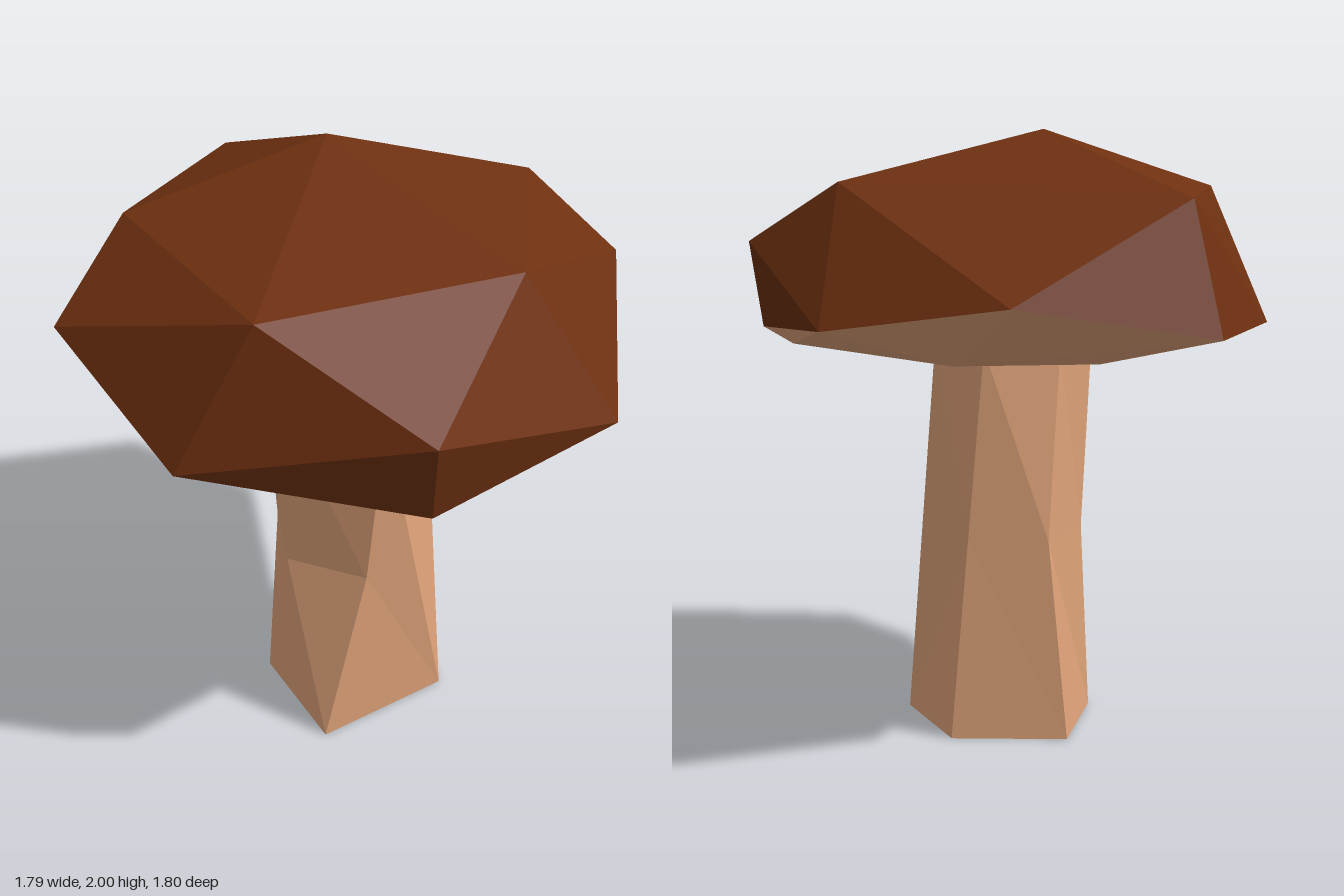
import * as THREE from 'three';
import { ConvexGeometry } from 'three/addons/geometries/ConvexGeometry.js';

function flatMesh(name, positions, material) {
  const g = new THREE.BufferGeometry();
  g.setAttribute('position', new THREE.Float32BufferAttribute(positions, 3));
  g.computeVertexNormals();
  const mesh = new THREE.Mesh(g, material);
  mesh.name = name;
  return mesh;
}

export function createModel() {
  const brown = new THREE.MeshStandardMaterial({ color: 0x6e3010, flatShading: true });
  brown.name = 'capBrown';
  const tan = new THREE.MeshStandardMaterial({ color: 0xdfa379, flatShading: true });
  tan.name = 'stemTan';
  const model = new THREE.Group();
  model.name = 'mushroom';

  // Cap: faceted hull over crown, rim and underside corners
  const corners = [
    // crown
    [0.06, 2, -0.21], [-0.58, 1.83, -0.37], [-0.58, 1.83, 0.44],
    [0.22, 1.83, 0.6], [0.68, 1.83, 0.04], [0, 1.78, -0.78],
    // rim
    [0, 1.37, -0.9], [0.65, 1.48, -0.69], [0.89, 1.4, -0.14], [0.78, 1.65, 0.38],
    [0.46, 1.34, 0.8], [-0.29, 1.58, 0.9], [-0.82, 1.38, 0.37],
    [-0.9, 1.6, -0.22], [-0.58, 1.38, -0.62],
    // underside
    [0.58, 1.31, 0.44], [-0.24, 1.28, 0.82], [-0.68, 1.29, 0.3],
    [0.48, 1.28, -0.25], [-0.2, 1.235, -0.22],
  ].map((c) => new THREE.Vector3(...c));
  const hull = new ConvexGeometry(corners).getAttribute('position').array;
  const top = [], under = [];
  for (let i = 0; i < hull.length; i += 9) {
    // faces lying wholly below the rim belong to the underside
    const peak = Math.max(hull[i + 1], hull[i + 4], hull[i + 7]);
    (peak < 1.5 ? under : top).push(...hull.slice(i, i + 9));
  }
  model.add(flatMesh('capTop', top, brown), flatMesh('capUnderside', under, tan));

  // Stem: each column of facets has a foot, a bend and a top corner
  const columns = [
    [[0.2, 0, 0.32], [0.2, 0, 0.32], [0.2, 1.3, 0.165]],
    [[-0.295, 0, 0.32], [-0.14, 0.67, 0.34], [-0.1, 1.3, 0.38]],
    [[-0.295, 0, 0.32], [-0.31, 0.67, 0.11], [-0.32, 1.3, 0.12]],
    [[-0.28, 0, -0.1], [-0.21, 0.67, -0.125], [-0.245, 1.3, -0.135]],
    [[0.03, 0, -0.3], [0.06, 0.67, -0.24], [-0.02, 1.3, -0.21]],
    [[0.305, 0, -0.03], [0.245, 0.67, -0.05], [0.19, 1.3, -0.07]],
  ];
  const sides = [], base = [];
  const addFace = (list, a, b, c) => {
    const same = (p, q) => p.every((v, k) => v === q[k]);
    if (!same(a, b) && !same(b, c) && !same(a, c)) list.push(...a, ...b, ...c);
  };
  columns.forEach((col, i) => {
    const next = columns[(i + 1) % columns.length];
    for (let k = 0; k < 2; k++) {
      addFace(sides, col[k], col[k + 1], next[k + 1]);
      addFace(sides, col[k], next[k + 1], next[k]);
    }
    addFace(base, [0, 0, 0], col[0], next[0]);
  });
  model.add(flatMesh('stem', sides, tan), flatMesh('stemBase', base, brown));
  return model;
}
